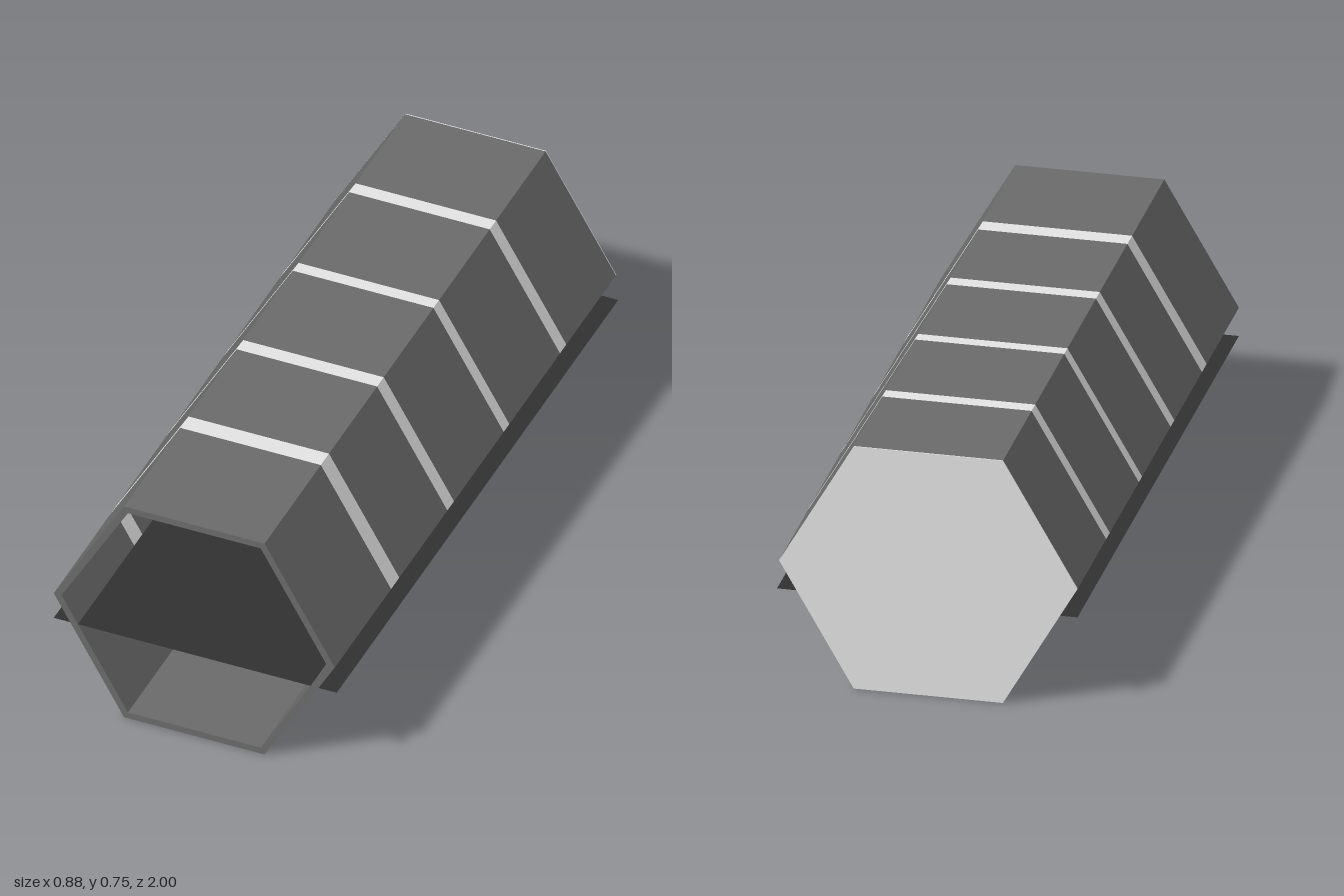
import * as THREE from 'three';

const OUTER = 0.435, INNER = 0.411; // corner radii of the hexagonal wall
const CX = -0.003, CY = 0.377;      // tube axis

const darkGrey = new THREE.MeshStandardMaterial({ color: 0x6b6b6b });
darkGrey.name = 'darkGrey';
const lightGrey = new THREE.MeshStandardMaterial({ color: 0xe4e4e4 });
lightGrey.name = 'lightGrey';
const charcoal = new THREE.MeshStandardMaterial({ color: 0x313131, side: THREE.DoubleSide });
charcoal.name = 'charcoal';

// Corners of a hexagon with points at left and right
function hexPoints(r) {
  return Array.from({ length: 6 }, (_, i) =>
    new THREE.Vector2(r * Math.cos(i * Math.PI / 3), r * Math.sin(i * Math.PI / 3)));
}

// Extruded hexagon, optionally hollow, from z0 to z1
function hexPrism(name, z0, z1, material, hollow) {
  const shape = new THREE.Shape(hexPoints(OUTER));
  if (hollow) shape.holes.push(new THREE.Path(hexPoints(INNER)));
  const geometry = new THREE.ExtrudeGeometry(shape, { depth: z1 - z0, bevelEnabled: false });
  const mesh = new THREE.Mesh(geometry, material);
  mesh.name = name;
  mesh.position.set(CX, CY, z0);
  return mesh;
}

export function createModel() {
  const group = new THREE.Group();
  group.name = 'hexagonalCorridor';

  // Wall: dark sections alternating with narrow light bands
  const cuts = [-0.997, -0.645, -0.6, -0.24, -0.2, 0.153, 0.2, 0.542, 0.6, 1];
  for (let i = 0; i < cuts.length - 1; i++) {
    const band = i % 2 === 1;
    group.add(hexPrism(band ? 'lightBand' : 'wallSection', cuts[i], cuts[i + 1],
      band ? lightGrey : darkGrey, true));
  }

  // Panel closing the back end
  group.add(hexPrism('backPanel', -1, -0.997, lightGrey, false));

  // Thin floor sheet, its edges poking out through the sloping walls
  const floor = new THREE.Mesh(new THREE.PlaneGeometry(0.876, 2), charcoal);
  floor.name = 'floor';
  floor.rotation.x = -Math.PI / 2;
  floor.position.y = 0.289;
  group.add(floor);

  return group;
}
